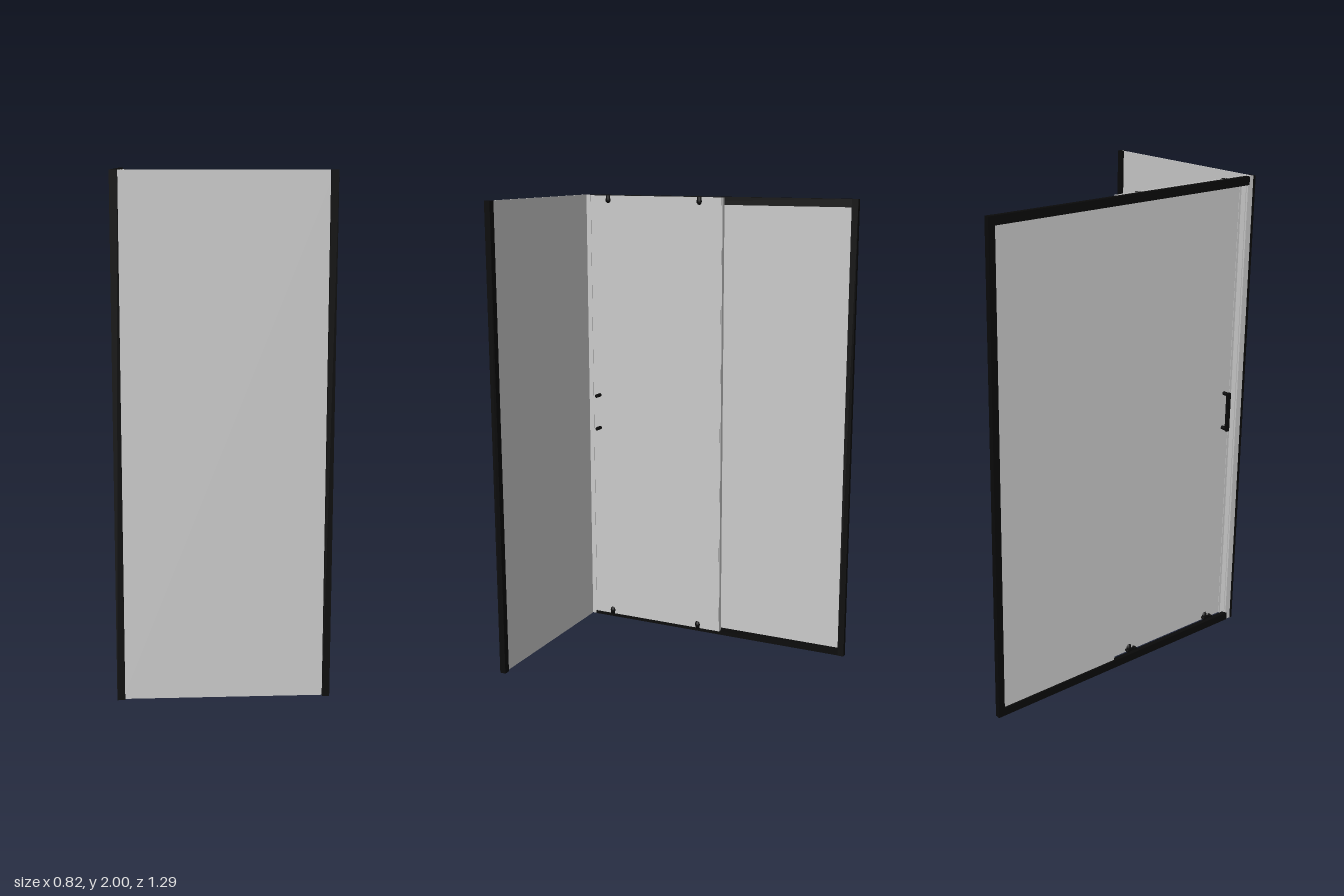
import * as THREE from 'three';

const grey = new THREE.MeshStandardMaterial({ color: 0xcccccc });
const black = new THREE.MeshStandardMaterial({ color: 0x0a0a0a });

// Box given by its min and max corner on each axis
function box(name, mat, [x0, x1], [y0, y1], [z0, z1]) {
  const m = new THREE.Mesh(new THREE.BoxGeometry(x1 - x0, y1 - y0, z1 - z0), mat);
  m.position.set((x0 + x1) / 2, (y0 + y1) / 2, (z0 + z1) / 2);
  m.name = name;
  return m;
}

// Roller: upright rounded clamp on the glass, with two small wheels running in the rail
function roller(top, z) {
  const g = new THREE.Group();
  g.name = top ? 'topRoller' : 'bottomRoller';
  const profile = [[0, -0.018], [0.007, -0.016], [0.012, -0.009], [0.013, 0], [0.011, 0.006], [0.011, 0.016], [0, 0.016]];
  const clamp = new THREE.Mesh(new THREE.LatheGeometry(profile.map(p => new THREE.Vector2(...p)), 20), black);
  clamp.name = 'rollerClamp';
  clamp.position.x = -0.371;
  g.add(clamp);
  g.add(box('rollerAxle', black, [-0.395, -0.371], [-0.004, 0.004], [-0.005, 0.005]));
  g.add(box('rollerBracket', black, [-0.394, -0.388], [-0.006, 0.006], [-0.022, 0.022]));
  for (const s of [-1, 1]) {
    const wheel = new THREE.Mesh(new THREE.CylinderGeometry(0.006, 0.006, 0.018, 16), black);
    wheel.name = 'rollerWheel';
    wheel.rotation.z = Math.PI / 2;
    wheel.position.set(-0.389, 0, s * 0.02);
    g.add(wheel);
  }
  if (!top) g.rotation.x = Math.PI;
  g.position.set(0, top ? 1.982 : 0.04, z);
  return g;
}

// Handle: outer bar on two pins that pass through the door glass
function handle() {
  const g = new THREE.Group();
  g.name = 'handle';
  for (const y of [0.935, 1.09]) {
    const pin = new THREE.Mesh(new THREE.CylinderGeometry(0.008, 0.008, 0.069, 16), black);
    pin.name = 'handlePin';
    pin.rotation.z = Math.PI / 2;
    pin.position.set(-0.3685, y, 0.56);
    g.add(pin);
  }
  g.add(box('handleBar', black, [-0.409, -0.397], [0.927, 1.098], [0.552, 0.568]));
  return g;
}

export function createModel() {
  const model = new THREE.Group();
  model.name = 'showerEnclosure';

  // Front screen with its wall profile
  model.add(box('frontGlass', grey, [-0.39, 0.395], [0, 2], [0.627, 0.632]));
  model.add(box('frontWallProfile', black, [0.38, 0.408], [0, 2], [0.617, 0.643]));

  // Corner post: dark front plate, grey strike and seals behind it
  model.add(box('cornerPlate', black, [-0.41, -0.38], [0, 2], [0.632, 0.643]));
  model.add(box('cornerPost', grey, [-0.408, -0.393], [0, 2], [0.605, 0.632]));
  model.add(box('cornerSeal', grey, [-0.4, -0.37], [0.025, 1.995], [0.602, 0.605]));

  // Side frame: wall post and two rails
  model.add(box('sideWallProfile', black, [-0.411, -0.389], [0, 2], [-0.643, -0.615]));
  model.add(box('topRail', black, [-0.411, -0.391], [1.966, 2], [-0.63, 0.61]));
  model.add(box('bottomRail', black, [-0.411, -0.391], [0, 0.034], [-0.63, 0.61]));

  // Fixed side glass and sliding door inside it
  model.add(box('fixedGlass', grey, [-0.403, -0.397], [0.02, 1.98], [-0.63, -0.045]));
  model.add(box('doorGlass', grey, [-0.374, -0.368], [0.025, 1.998], [-0.045, 0.592]));
  model.add(box('doorRearSeal', grey, [-0.388, -0.367], [0.025, 1.998], [-0.05, -0.046]));
  model.add(box('doorFrontSeal', grey, [-0.376, -0.366], [0.025, 1.998], [0.592, 0.602]));

  for (const z of [0.06, 0.505]) for (const top of [true, false]) model.add(roller(top, z));
  model.add(handle());
  return model;
}
